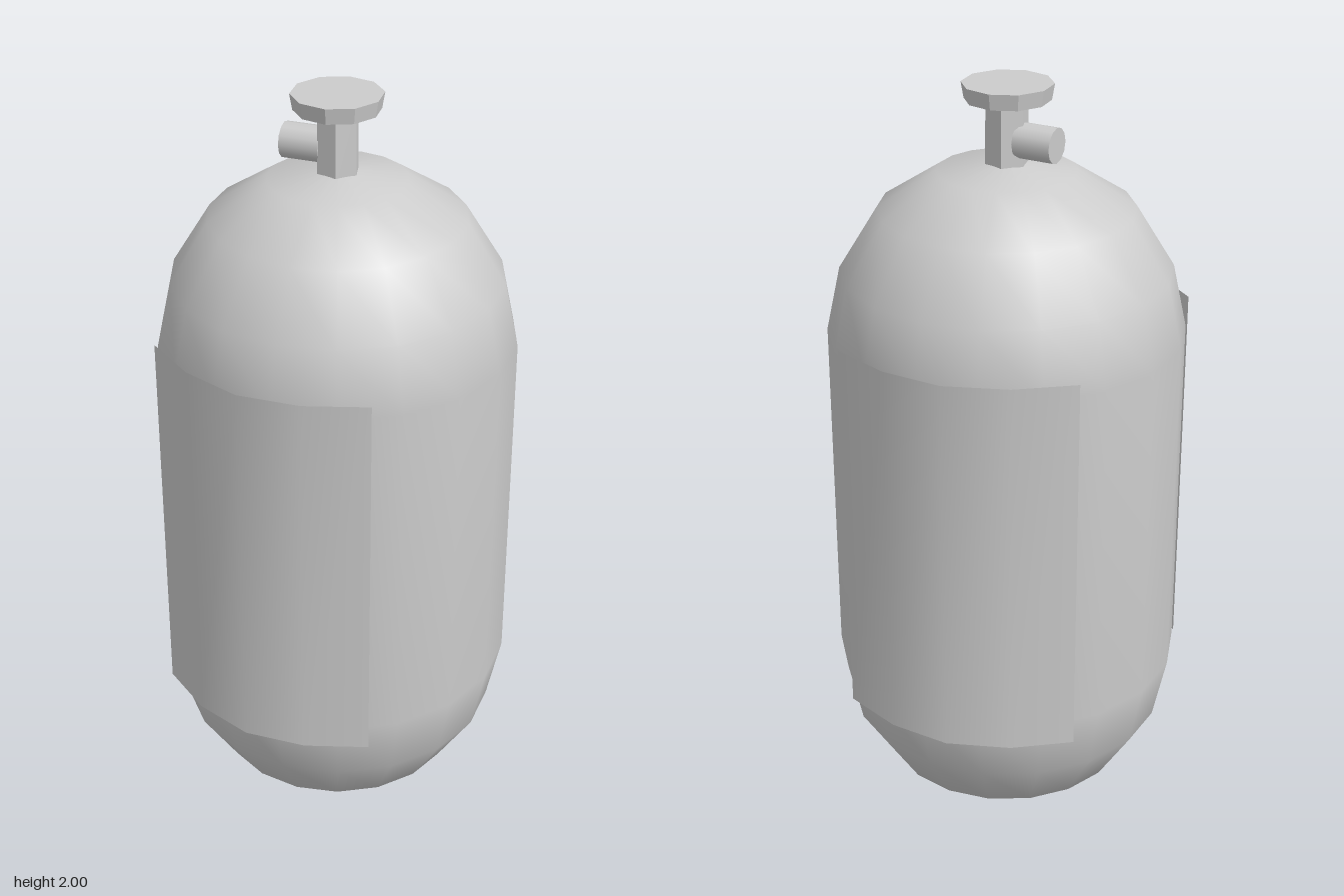
import * as THREE from 'three';

const steel = new THREE.MeshStandardMaterial({ color: 0xcccccc, side: THREE.DoubleSide });
steel.name = 'grey steel';

function addPart(group, name, geometry, x = 0, y = 0, z = 0) {
  const mesh = new THREE.Mesh(geometry, steel);
  mesh.name = name;
  mesh.position.set(x, y, z);
  group.add(mesh);
  return mesh;
}

// Give a prism hard facets
function faceted(geometry) {
  const flat = geometry.toNonIndexed();
  flat.computeVertexNormals();
  return flat;
}

// Thin curved plate following a path seen from above
function labelPlate(path, bottom, top) {
  const geometry = new THREE.PlaneGeometry(1, 1, path.length - 1, 1);
  const pos = geometry.attributes.position;
  for (let i = 0; i < pos.count; i++) {
    const [x, z] = path[i % path.length];
    pos.setXYZ(i, x, i < path.length ? top : bottom, z);
  }
  geometry.computeVertexNormals();
  return geometry;
}

export function createModel() {
  const model = new THREE.Group();
  model.name = 'gasCylinder';

  // Tank with rounded ends
  const profile = [
    [0, 0.003], [0.173, 0.04], [0.32, 0.14], [0.416, 0.29], [0.452, 0.46],
    [0.452, 1.37], [0.416, 1.535], [0.32, 1.69], [0.173, 1.785], [0, 1.812],
  ].map(([r, y]) => new THREE.Vector2(r, y));
  addPart(model, 'tank', new THREE.LatheGeometry(profile, 18));

  // Curved plates on front and back
  const front = [[-0.363, 0.303], [-0.235, 0.403], [-0.082, 0.464], [0.078, 0.46], [0.234, 0.409]];
  const back = front.map(([x, z]) => [x, -z - 0.005]).reverse();
  addPart(model, 'frontPlate', labelPlate(front, 0.415, 1.415));
  addPart(model, 'backPlate', labelPlate(back, 0.415, 1.415));

  // Valve: stem, side outlet and hand wheel
  addPart(model, 'valveStem', faceted(new THREE.CylinderGeometry(0.053, 0.055, 0.19, 6)), 0, 1.875).rotation.y = 0.25;
  const outlet = addPart(model, 'valveOutlet', new THREE.CylinderGeometry(0.044, 0.044, 0.1, 12), -0.086, 1.865);
  outlet.rotation.z = Math.PI / 2;
  addPart(model, 'handWheel', faceted(new THREE.CylinderGeometry(0.113, 0.106, 0.04, 10)), 0, 1.98, 0.004).rotation.y = 0.1;

  return model;
}
